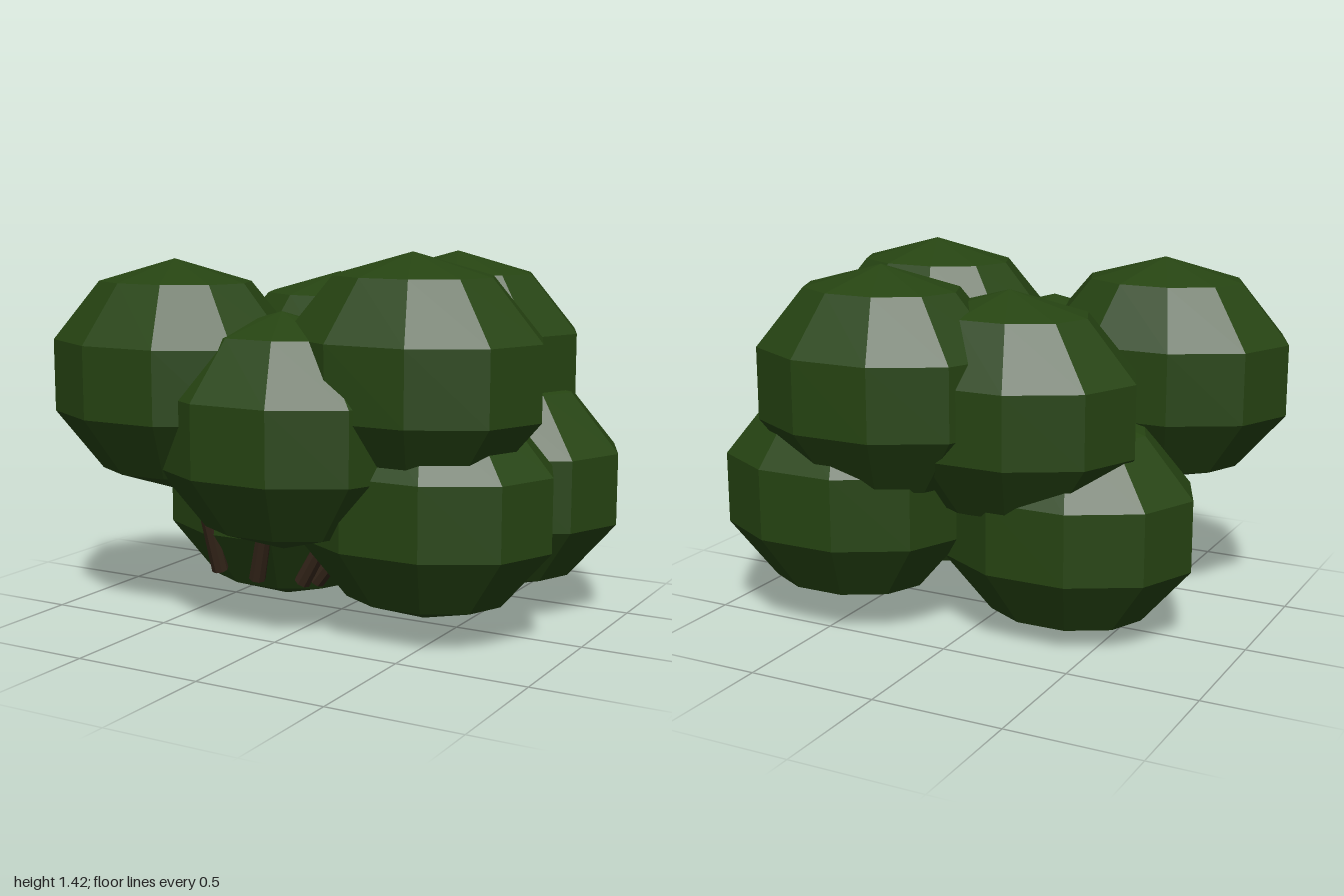
import * as THREE from 'three';

export function createModel() {
  const model = new THREE.Group();
  model.name = 'bush';
  const leaf = new THREE.MeshStandardMaterial({ color: 0x264412, flatShading: true });
  leaf.name = 'leaf green';
  const bark = new THREE.MeshStandardMaterial({ color: 0x35261a, flatShading: true });
  bark.name = 'bark brown';

  // Foliage: identical low-poly ellipsoids, placed by centre
  const clumpGeometry = new THREE.SphereGeometry(1, 10, 5).scale(0.525, 0.44, 0.405);
  const clumps = {
    foliageFrontRight: [-0.5, 0.943, 0.385],
    foliageFrontCentre: [-0.03, 0.765, 0.385],
    foliageFrontLeft: [0.42, 0.983, 0.23],
    foliageBackLeft: [0.305, 0.96, -0.39],
    foliageBackRight: [-0.135, 0.875, -0.225],
    foliageLowRight: [-0.315, 0.44, -0.1],
    foliageLowLeft: [0.44, 0.51, 0.16],
    foliageLowBack: [0.5, 0.522, -0.34],
  };
  for (const [name, centre] of Object.entries(clumps)) {
    const clump = new THREE.Mesh(clumpGeometry, leaf);
    clump.name = name;
    clump.position.set(...centre);
    model.add(clump);
  }

  // Stems: tapered sticks from base to tip, ending inside the foliage
  function addStem(name, base, tip) {
    const a = new THREE.Vector3(...base), b = new THREE.Vector3(...tip);
    const axis = b.clone().sub(a);
    const stem = new THREE.Mesh(new THREE.CylinderGeometry(0.027, 0.033, axis.length(), 8), bark);
    stem.name = name;
    stem.position.copy(a).add(b).multiplyScalar(0.5);
    stem.quaternion.setFromUnitVectors(new THREE.Vector3(0, 1, 0), axis.normalize());
    model.add(stem);
  }
  addStem('stemRight', [-0.44, 0.15, 0.2], [-0.46, 0.62, 0.34]);
  addStem('stemMiddle', [-0.24, 0.15, 0.24], [-0.13, 0.5, 0.32]);
  addStem('stemInner', [-0.06, 0.15, 0.2], [0.14, 0.47, 0.24]);
  addStem('stemLeft', [-0.02, 0.15, 0.16], [0.24, 0.48, 0.18]);

  return model;
}
